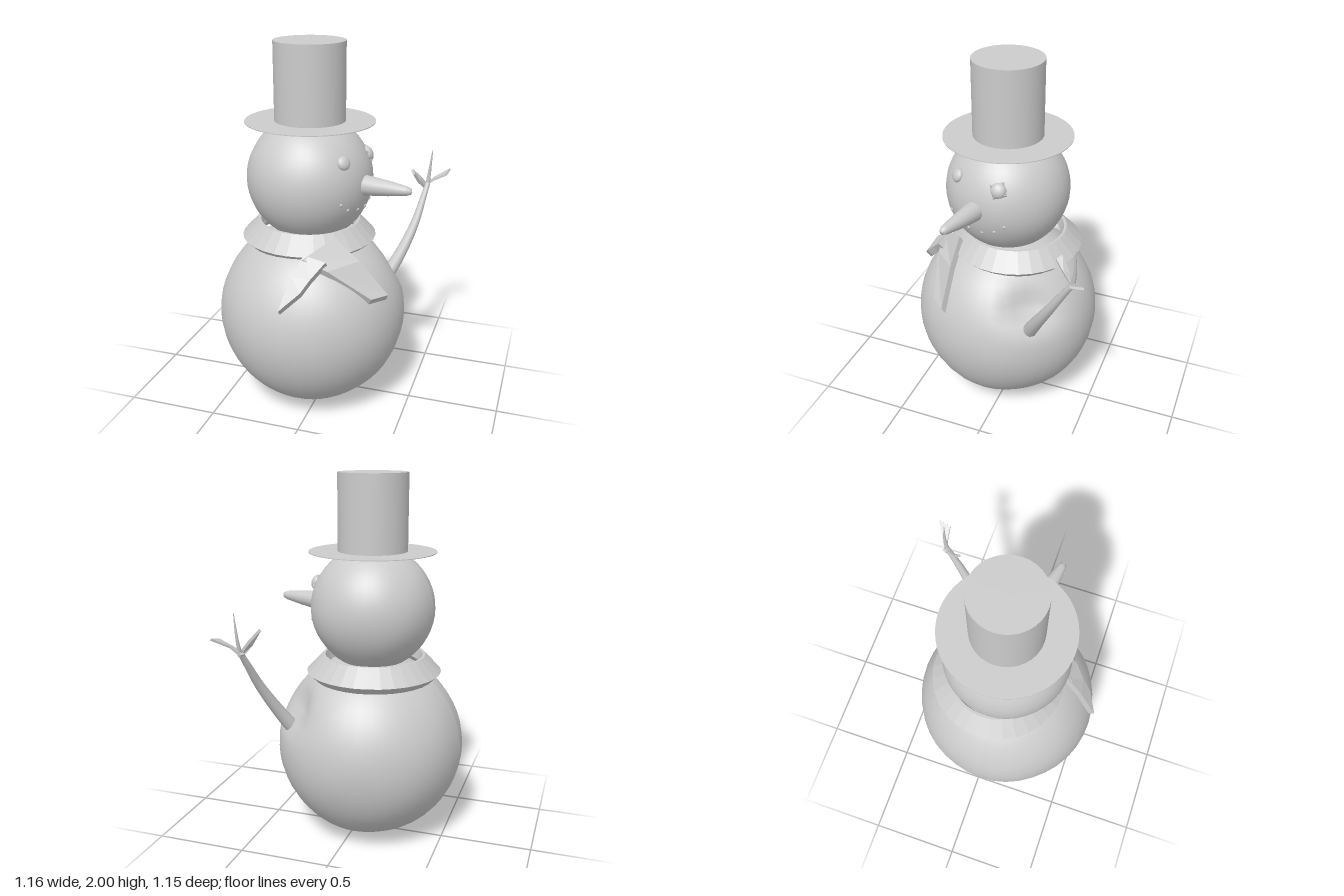
import * as THREE from 'three';

const V = (x, y, z) => new THREE.Vector3(x, y, z);
const smooth = new THREE.MeshStandardMaterial({ color: 0xcccccc });
const thin = new THREE.MeshStandardMaterial({ color: 0xcccccc, side: THREE.DoubleSide });
const flat = new THREE.MeshStandardMaterial({ color: 0xcccccc, side: THREE.DoubleSide, flatShading: true });

function add(parent, name, geometry, material, x = 0, y = 0, z = 0) {
  const mesh = new THREE.Mesh(geometry, material);
  mesh.name = name;
  mesh.position.set(x, y, z);
  parent.add(mesh);
  return mesh;
}

// Sphere with gentle hand-packed unevenness and an optional extra vertex rule
function snowball(radius, rule) {
  const geo = new THREE.SphereGeometry(radius, 40, 28);
  const pos = geo.attributes.position, v = V(0, 0, 0);
  for (let i = 0; i < pos.count; i++) {
    v.fromBufferAttribute(pos, i);
    const n = v.clone().divideScalar(radius);
    v.multiplyScalar(1 + 0.005 * Math.sin(5 * n.x + 3 * n.y) * Math.sin(6 * n.z - 2 * n.y));
    if (rule) rule(v);
    pos.setXYZ(i, v.x, v.y, v.z);
  }
  geo.computeVertexNormals();
  return geo;
}

// Flat band through rows of [one edge, other edge], thickened by an offset
function band(rows, offset) {
  const verts = [], index = [];
  for (const [a, b] of rows) {
    for (const p of [a, b, b.clone().add(offset), a.clone().add(offset)]) verts.push(p.x, p.y, p.z);
  }
  for (let r = 0; r < rows.length - 1; r++) {
    for (let k = 0; k < 4; k++) {
      const a = r * 4 + k, b = r * 4 + (k + 1) % 4;
      index.push(a, b, b + 4, a, b + 4, a + 4);
    }
  }
  const e = (rows.length - 1) * 4;
  index.push(0, 2, 1, 0, 3, 2, e, e + 1, e + 2, e, e + 2, e + 3);
  const geo = new THREE.BufferGeometry();
  geo.setAttribute('position', new THREE.Float32BufferAttribute(verts, 3));
  geo.setIndex(index);
  geo.computeVertexNormals();
  return geo;
}

// Tube that narrows along its path
function taperedTube(points, r0, r1, sides = 10) {
  const segs = 14, path = new THREE.CatmullRomCurve3(points);
  const geo = new THREE.TubeGeometry(path, segs, 1, sides);
  const pos = geo.attributes.position, v = V(0, 0, 0);
  for (let i = 0; i < pos.count; i++) {
    const t = Math.floor(i / (sides + 1)) / segs, c = path.getPointAt(t);
    v.fromBufferAttribute(pos, i).sub(c).multiplyScalar(r0 + (r1 - r0) * t).add(c);
    pos.setXYZ(i, v.x, v.y, v.z);
  }
  return geo;
}

export function createModel() {
  const model = new THREE.Group();
  model.name = 'snowman';

  // Body: flattened underneath, dented where the arm goes in
  const bodyCentre = V(-0.065, 0.512, 0.045);
  const socket = V(0.345, 0.22, -0.265), inward = V(-0.79, 0, 0.61);
  add(model, 'body', snowball(0.516, (v) => {
    const d = v.clone().sub(socket);
    const below = d.y < 0 ? 2.2 : 1;
    const s = d.x * d.x + d.z * d.z + (d.y * below) ** 2;
    v.addScaledVector(inward, 0.075 * Math.exp(-s / 0.018));
    v.y = Math.max(v.y, -0.507 - 0.005 * Math.cos(v.x * 6));
  }), smooth, bodyCentre.x, bodyCentre.y, bodyCentre.z);

  // Head
  const headCentre = V(-0.075, 1.285, 0.045), headR = 0.336;
  add(model, 'head', snowball(headR), smooth, headCentre.x, headCentre.y, headCentre.z);

  // Hat
  const hat = new THREE.Group();
  hat.name = 'hat';
  hat.position.set(-0.073, 0, 0.043);
  model.add(hat);
  add(hat, 'hatCrown', new THREE.CylinderGeometry(0.187, 0.187, 0.41, 32), smooth, 0, 1.795, 0);
  add(hat, 'hatBrim', new THREE.CylinderGeometry(0.342, 0.342, 0.004, 48), smooth, 0, 1.59, 0);

  // Face details sit on the head at a given height and depth, looking along +x
  const face = new THREE.Group();
  face.name = 'face';
  model.add(face);
  function onFace(name, y, z, geo, material, depth) {
    const dy = y - headCentre.y, dz = z - headCentre.z;
    const dir = V(Math.sqrt(headR * headR - dy * dy - dz * dz), dy, dz).normalize();
    const p = headCentre.clone().addScaledVector(dir, headR);
    const mesh = add(face, name, geo, material, p.x, p.y, p.z);
    mesh.quaternion.setFromUnitVectors(V(0, 0, 1), dir);
    mesh.scale.z = depth;
  }
  onFace('leftEye', 1.43, 0.23, new THREE.SphereGeometry(0.037, 16, 12), smooth, 0.6);
  onFace('rightEye', 1.42, -0.02, new THREE.SphereGeometry(0.04, 16, 12), smooth, 0.65);
  onFace('rightEyeRim', 1.42, -0.02, new THREE.TorusGeometry(0.044, 0.009, 4, 4), flat, 1);
  for (const [y, z] of [[1.22, 0.27], [1.18, 0.225], [1.165, 0.15], [1.16, 0.07], [1.18, 0], [1.22, -0.055]]) {
    onFace('mouthPebble', y, z, new THREE.SphereGeometry(0.01, 8, 6), smooth, 0.6);
  }

  // Carrot nose
  const noseProfile = [[0.056, 0], [0.052, 0.07], [0.04, 0.18], [0.025, 0.28], [0.016, 0.305], [0, 0.312]]
    .map(([r, h]) => new THREE.Vector2(r, h));
  const nose = add(model, 'nose', new THREE.LatheGeometry(noseProfile, 16), thin, 0.2, 1.285, 0.098);
  nose.quaternion.setFromUnitVectors(V(0, 1, 0), V(0.29, 0.01, 0.068).normalize());

  // Scarf collar
  const collar = [[0.265, 1.04], [0.25, 0.985], [0.325, 0.91], [0.366, 0.95], [0.28, 1.04], [0.265, 1.04]]
    .map(([r, y]) => new THREE.Vector2(r, y));
  add(model, 'scarfCollar', new THREE.LatheGeometry(collar, 32), flat, -0.095, 0, 0.005);

  // Scarf tails
  add(model, 'scarfLongTail', band([
    [V(0.0, 0.955, 0.4), V(0.13, 1.035, 0.25)],
    [V(0.13, 0.9, 0.385), V(0.26, 0.92, 0.25)],
    [V(0.345, 0.745, 0.32), V(0.415, 0.745, 0.24)],
  ], V(-0.015, -0.035, -0.015)), flat);
  add(model, 'scarfShortTail', band([
    [V(0, 0.97, 0.375), V(0.12, 0.95, 0.385)],
    [V(-0.035, 0.89, 0.47), V(0.06, 0.875, 0.455)],
    [V(-0.07, 0.735, 0.572), V(0.025, 0.82, 0.51)],
  ], V(0, -0.03, -0.03)), flat);

  // Arm with three twig fingers
  const arm = new THREE.Group();
  arm.name = 'leftArm';
  model.add(arm);
  add(arm, 'branch', taperedTube([
    V(0.29, 0.625, -0.21), V(0.36, 0.76, -0.28), V(0.42, 0.92, -0.37), V(0.45, 1.06, -0.45), V(0.465, 1.14, -0.5),
  ], 0.042, 0.014), thin);
  add(arm, 'upperFinger', taperedTube([
    V(0.462, 1.11, -0.49), V(0.47, 1.2, -0.503), V(0.482, 1.33, -0.505),
  ], 0.014, 0.002, 6), thin);
  add(arm, 'outerFinger', band([
    [V(0.44, 1.11, -0.49), V(0.45, 1.11, -0.515)],
    [V(0.5, 1.15, -0.5), V(0.5, 1.155, -0.53)],
    [V(0.57, 1.185, -0.508), V(0.58, 1.2, -0.578)],
  ], V(-0.005, 0.01, 0)), flat);
  add(arm, 'innerFinger', band([
    [V(0.465, 1.1, -0.5), V(0.45, 1.1, -0.485)],
    [V(0.425, 1.165, -0.46), V(0.42, 1.15, -0.43)],
    [V(0.38, 1.225, -0.41), V(0.4, 1.205, -0.385)],
  ], V(0.008, 0.012, -0.004)), flat);

  return model;
}
